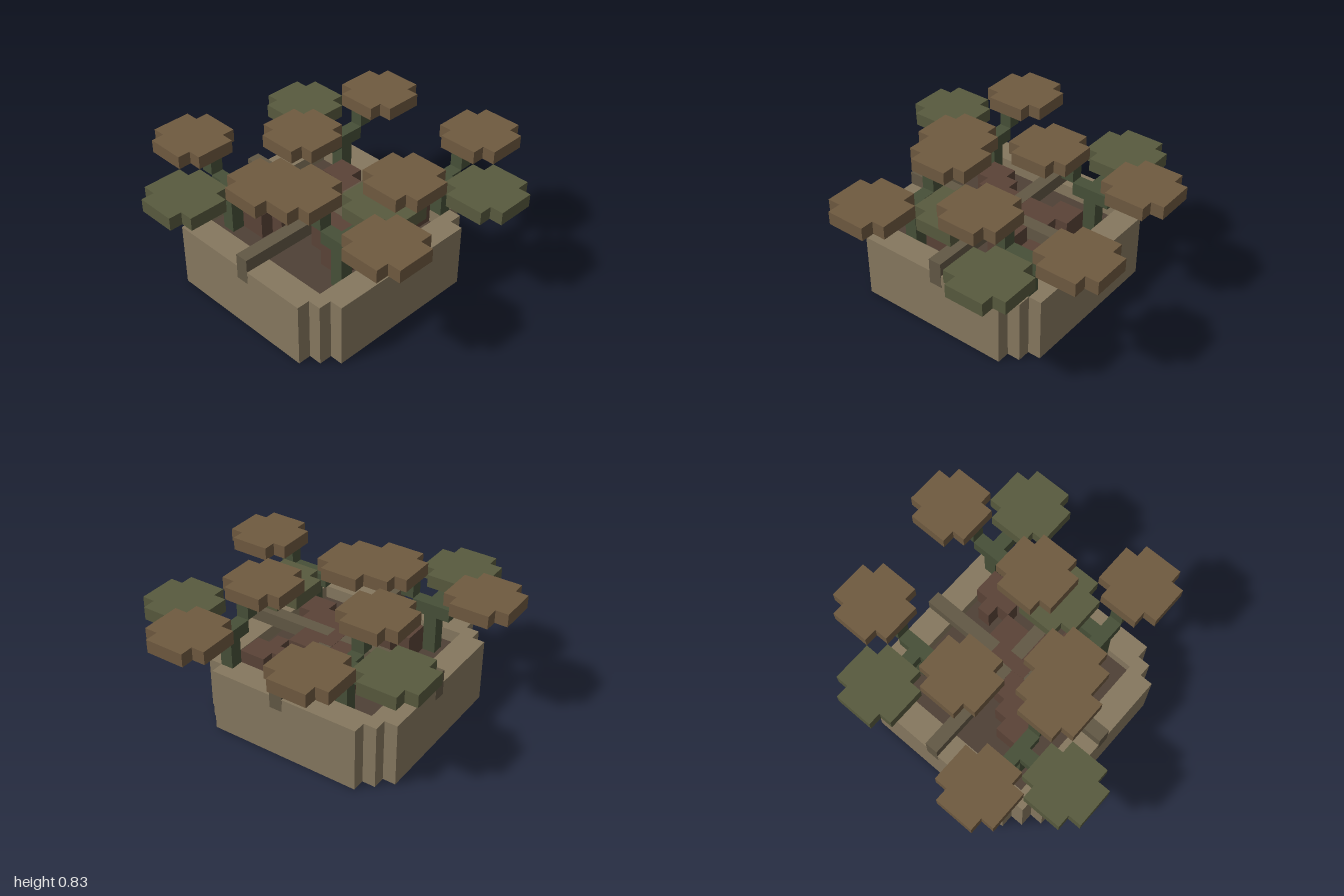
import * as THREE from 'three';

const U = 1 / 12; // cell size; cells count from the left, bottom and back

const mat = (color) => new THREE.MeshStandardMaterial({ color, flatShading: true });
const WALL = mat(0x86785f), SOIL = mat(0x4f4136), ROOT = mat(0x5a4337), STRAP = mat(0x625845);
const STEM = mat(0x475038), LEAF = mat(0x585a3e), BROWN = mat(0x6f5a40);

const wx = (i) => -1 + i * U;
const wz = (k) => -11.5 * U + k * U;

// Box spanning cell coordinates, optionally grown a hair to sit proud of its neighbours
function block(parent, name, m, [x0, x1], [y0, y1], [z0, z1], grow = 0) {
  const g = new THREE.BoxGeometry((x1 - x0) * U + 2 * grow, (y1 - y0) * U + 2 * grow, (z1 - z0) * U + 2 * grow);
  const mesh = new THREE.Mesh(g, m);
  mesh.name = name;
  mesh.position.set(wx((x0 + x1) / 2), (y0 + y1) / 2 * U, wz((z0 + z1) / 2));
  parent.add(mesh);
  return mesh;
}

// Square outline of half-size h whose corners are cut in n one-cell steps
function steppedSquare(h, n) {
  const quarter = [];
  for (let s = 0; s <= n; s++) {
    quarter.push([h - s, h - n + s]);
    if (s < n) quarter.push([h - s - 1, h - n + s]);
  }
  const pts = [];
  for (let q = 0; q < 4; q++) {
    for (const [a, b] of quarter) {
      const [x, z] = [[a, b], [-b, a], [-a, -b], [b, -a]][q];
      pts.push(new THREE.Vector2(x * U, z * U));
    }
  }
  return pts;
}

// Upright slab from an outline, between two cell heights
function slab(parent, name, m, shape, y0, y1, cx, cz) {
  const g = new THREE.ExtrudeGeometry(shape, { depth: (y1 - y0) * U, bevelEnabled: false });
  g.rotateX(Math.PI / 2);
  const mesh = new THREE.Mesh(g, m);
  mesh.name = name;
  mesh.position.set(wx(cx), y1 * U, wz(cz));
  parent.add(mesh);
}

function createPlanter() {
  const planter = new THREE.Group();
  planter.name = 'planter';
  slab(planter, 'planterBase', WALL, new THREE.Shape(steppedSquare(8, 2)), 0, 3, 11, 11);
  const ring = new THREE.Shape(steppedSquare(8, 2));
  ring.holes.push(new THREE.Path(steppedSquare(6, 0)));
  slab(planter, 'planterWall', WALL, ring, 3, 5, 11, 11);
  block(planter, 'soil', SOIL, [5, 17], [3, 4], [5, 17]);

  // Crossed straps over the rim, each end folded down one cell
  block(planter, 'strapAcross', STRAP, [3, 19], [5, 6], [11, 12], 0.001);
  block(planter, 'strapAlong', STRAP, [11, 12], [5, 6], [3, 19], 0.001);
  for (const e of [3, 18]) {
    block(planter, 'strapEnd', STRAP, [e, e + 1], [4, 5], [11, 12], 0.001);
    block(planter, 'strapEnd', STRAP, [11, 12], [4, 5], [e, e + 1], 0.001);
  }
  block(planter, 'rootKnot', ROOT, [10, 13], [4, 6], [11, 12], 0.002);
  return planter;
}

// Stem with one low green pad and two higher brown pads
function createPlant(name, tx, tz, green, browns) {
  const plant = new THREE.Group();
  plant.name = name;
  const cell = (dir, d) => [tx + dir[0] * d, tz + dir[1] * d];
  const cube = (part, m, [x, z], y) => block(plant, part, m, [x, x + 1], [y, y + 1], [z, z + 1]);
  const pad = (part, m, dir, y) => {
    const [x, z] = cell(dir, 4);
    slab(plant, part, m, new THREE.Shape(steppedSquare(2.5, 1)), y, y + 1, x + 0.5, z + 0.5);
  };
  block(plant, 'stem', STEM, [tx, tx + 1], [4, 8], [tz, tz + 1]);

  cube('lowBranch', STEM, cell(green, 1), 7);
  cube('lowBranch', STEM, cell(green, 2), 7);
  pad('greenPad', LEAF, green, 8);
  for (const dir of browns) {
    cube('highBranch', STEM, cell(dir, 1), 7);
    cube('highBranch', STEM, cell(dir, 2), 8);
    pad('brownPad', BROWN, dir, 9);
  }

  // Root stepping from the stem to the middle of the planter
  const sx = Math.sign(11 - tx), sz = Math.sign(11 - tz);
  for (let s = 1; s <= 4; s++) {
    const x = Math.round(tx + (11 - tx) * s / 5), z = Math.round(tz + (11 - tz) * s / 5);
    block(plant, 'root', ROOT, [x, x + 1], [4, 6], [z, z + 1]);
    const bx = x + sx;
    if (s < 4) block(plant, 'root', ROOT, [bx, bx + 1], [4, 6], [z, z + 1]);
    if (s < 4) block(plant, 'root', ROOT, [x, x + 1], [4, 6], [z + sz, z + sz + 1]);
  }
  return plant;
}

export function createModel() {
  const model = new THREE.Group();
  model.name = 'pottedPlants';
  const N = [0, -1], S = [0, 1], E = [1, 0], W = [-1, 0];
  model.add(
    createPlanter(),
    createPlant('backRightPlant', 6, 6, W, [N, S]),
    createPlant('backLeftPlant', 16, 7, N, [W, E]),
    createPlant('frontRightPlant', 7, 16, E, [N, S]),
    createPlant('frontLeftPlant', 17, 16, S, [W, E])
  );
  return model;
}
